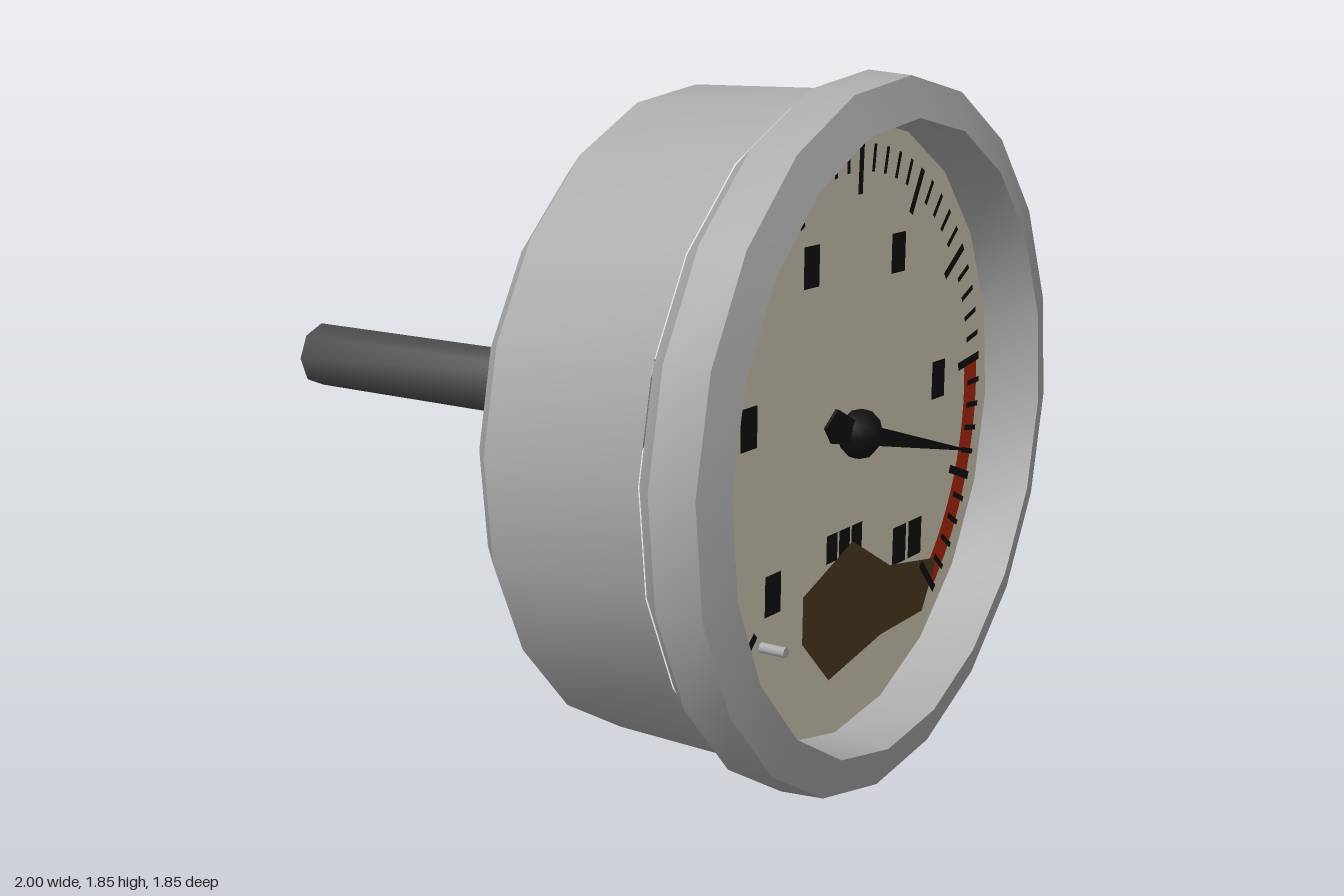
import * as THREE from 'three';
import { mergeGeometries, toCreasedNormals } from 'three/addons/utils/BufferGeometryUtils.js';

const CY = 0.928; // height of the gauge axis

export function createModel() {
  const mat = (name, color) => {
    const m = new THREE.MeshStandardMaterial({ color });
    m.name = name;
    return m;
  };
  const steel = mat('steel grey', 0xababab);
  const dark = mat('dark stem grey', 0x4c4c4c);
  const cream = mat('dial cream', 0xcfcab5);
  const black = mat('ink black', 0x101010);
  const red = mat('warning red', 0xae2810);
  const brown = mat('label brown', 0x4c3a20);

  const root = new THREE.Group();
  root.name = 'dialThermometer';
  const add = (parent, name, geo, material) => {
    const m = new THREE.Mesh(geo, material);
    m.name = name;
    parent.add(m);
    return m;
  };

  // Parts turned about the x axis; points are [x, radius]
  const turned = (name, points, sides, material, start = -0.038, crease = 0.5) => {
    const pts = points.map(([x, r]) => new THREE.Vector2(r, x));
    const geo = new THREE.LatheGeometry(pts, sides, start);
    geo.rotateZ(-Math.PI / 2);
    const m = add(root, name, toCreasedNormals(geo, crease), material);
    m.position.y = CY;
    return m;
  };

  // Housing and bezel
  turned('case', [[0.27, 0], [0.27, 0.8], [0.34, 0.87], [0.79, 0.875]], 20, steel);
  turned('bezel', [[0.79, 0.87], [0.85, 0.925], [0.97, 0.915], [1, 0.812], [0.84, 0.803]], 20, steel);
  const label = add(root, 'caseLabel', new THREE.BoxGeometry(0.11, 0.05, 0.18), brown);
  label.position.set(0.545, 0.082, 0);

  // Rear fitting and stem
  turned('neck', [[0.17, 0.12], [0.275, 0.12]], 16, steel);
  turned('hexNut', [[0.06, 0], [0.06, 0.155], [0.18, 0.155], [0.18, 0]], 6, steel, Math.PI / 6);
  turned('flange', [[-0.025, 0], [-0.025, 0.36], [-0.012, 0.37], [0.005, 0.35], [0.02, 0.31], [0.015, 0]],
    16, steel);
  turned('stem', [[-1, 0], [-1, 0.096], [0.03, 0.096], [0.06, 0.08]], 8, dark, 0, 0.9);

  // Dial face: local x runs to the viewer's right, local y up, local z outwards
  const face = new THREE.Group();
  face.name = 'dialFace';
  face.position.set(0.84, CY, 0);
  face.rotation.y = Math.PI / 2;
  root.add(face);

  add(face, 'dial', new THREE.CircleGeometry(0.805, 20, -0.038 + Math.PI), cream);

  const shapeOf = (points) => new THREE.Shape(points.map(([x, y]) => new THREE.Vector2(x, y)));

  // Scale ticks, clockwise from lower left, every fifth one long
  const STEP = THREE.MathUtils.degToRad(5.4);
  const OFFSET = THREE.MathUtils.degToRad(1.8);
  const ticks = [];
  for (let i = -25; i <= 25; i++) {
    const major = i % 5 === 0;
    const inner = major ? 0.615 : 0.672;
    const outer = 0.742;
    const tick = new THREE.PlaneGeometry(major ? 0.023 : 0.015, outer - inner);
    tick.translate(0, (inner + outer) / 2, 0.006);
    tick.rotateZ(-(i * STEP + OFFSET));
    ticks.push(tick);
  }
  add(face, 'scaleTicks', mergeGeometries(ticks), black);

  // Red band over the last two major divisions
  const bandLength = 10 * STEP;
  const bandStart = Math.PI / 2 - OFFSET - 25 * STEP;
  const band = add(face, 'redBand', new THREE.RingGeometry(0.658, 0.733, 20, 1, bandStart, bandLength), red);
  band.position.z = 0.003;

  // Plain blocks marking the scale values and the unit
  const block = (x, y, w, h) => {
    const g = new THREE.PlaneGeometry(w, h);
    g.translate(x, y - CY, 0.003);
    return g;
  };
  const blocks = [
    [-0.49, 1.03], [-0.21, 1.385], [0.24, 1.37], [0.495, 0.99],
    [-0.365, 0.59], [0.295, 0.565], [0.385, 0.565],
  ].map(([x, y]) => block(x, y, 0.075, 0.105));
  for (const x of [-0.075, -0.01, 0.055]) blocks.push(block(x, 0.64, 0.056, 0.075));
  add(face, 'valueBlocks', mergeGeometries(blocks), black);

  // Brown patch low on the dial
  const patch = shapeOf([
    [-0.22, 0.42], [-0.08, 0.285], [0.2, 0.335], [0.44, 0.34],
    [0.52, 0.475], [0.24, 0.52], [0.03, 0.635], [-0.22, 0.545],
  ]);
  add(face, 'dialPatch', new THREE.ShapeGeometry(patch), brown).position.set(0, -CY, 0.005);

  // Needle with a pointed tail, built along +x and tilted
  const needleShape = shapeOf([
    [-0.195, 0], [-0.15, -0.035], [-0.04, -0.03], [0.05, -0.026],
    [0.68, 0], [0.05, 0.026], [-0.04, 0.03], [-0.15, 0.052],
  ]);
  const needleGeo = new THREE.ExtrudeGeometry(needleShape, { depth: 0.008, bevelEnabled: false });
  const needle = add(face, 'needle', needleGeo, black);
  needle.position.set(0, 0.004, 0.035);
  needle.rotation.z = -0.255;
  const hub = add(face, 'needleHub', new THREE.SphereGeometry(0.066, 8, 6), black);
  hub.position.set(0, 0.004, 0.035);
  hub.scale.z = 0.85;

  // Stop pin near the start of the scale
  const pinGeo = new THREE.CylinderGeometry(0.014, 0.014, 0.07, 8);
  pinGeo.rotateX(Math.PI / 2);
  add(face, 'stopPin', pinGeo, steel).position.set(-0.41, 0.465 - CY, 0.035);

  return root;
}
